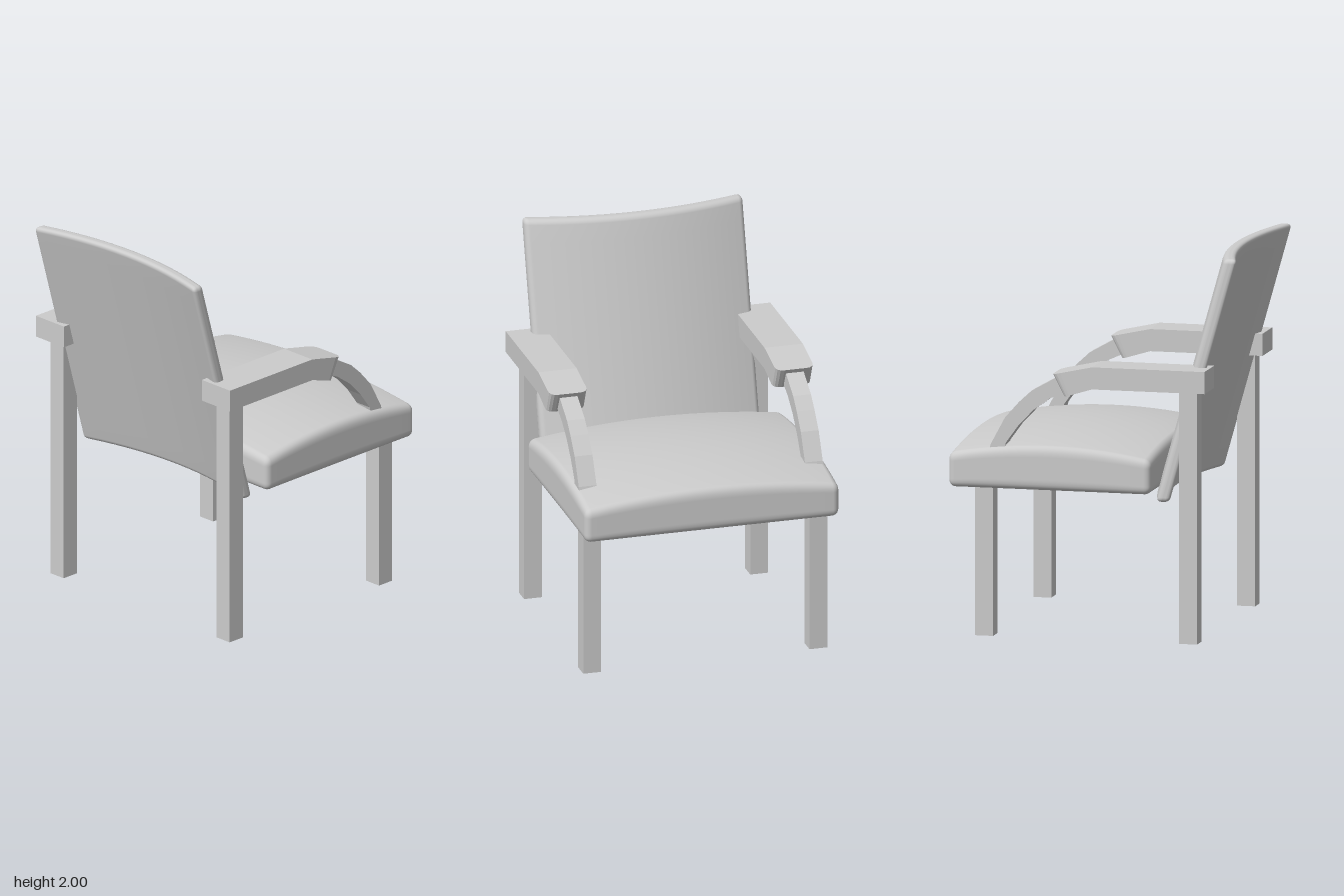
import * as THREE from 'three';
import { mergeVertices } from 'three/addons/utils/BufferGeometryUtils.js';

const material = new THREE.MeshStandardMaterial({ color: 0xcccccc });

function add(parent, name, geometry, x = 0, y = 0, z = 0) {
  const mesh = new THREE.Mesh(geometry, material);
  mesh.name = name;
  mesh.position.set(x, y, z);
  parent.add(mesh);
  return mesh;
}

// Finely divided box with rounded edges, reshaped by a rule on each vertex
function cushion(size, r, reshape) {
  const n = 20, ring = 3;
  let geo = new THREE.BoxGeometry(2, 2, 2, n, n, n);
  geo.deleteAttribute('uv');
  geo.deleteAttribute('normal');
  geo = mergeVertices(geo);
  const pos = geo.attributes.position;
  const p = new THREE.Vector3(), core = new THREE.Vector3();
  const half = new THREE.Vector3(...size).multiplyScalar(0.5);
  const inner = half.clone().subScalar(r);
  const place = (t, h) => {
    const k = Math.round((t + 1) / 2 * n);
    if (k <= ring) return -h + r * k / ring;
    if (k >= n - ring) return h - r * (n - k) / ring;
    return (h - r) * (2 * (k - ring) / (n - 2 * ring) - 1);
  };
  for (let i = 0; i < pos.count; i++) {
    p.fromBufferAttribute(pos, i);
    p.set(place(p.x, half.x), place(p.y, half.y), place(p.z, half.z));
    core.copy(p).clamp(inner.clone().negate(), inner);
    p.sub(core).normalize().multiplyScalar(r).add(core);
    reshape(p);
    pos.setXYZ(i, p.x, p.y, p.z);
  }
  geo.computeVertexNormals();
  return geo;
}

// Front end of the arm pad: rounded corners, dropping and undercut at the tip
function padTip(w, thick, length) {
  const h = w / 2, c = 0.045;
  const s = new THREE.Shape();
  s.moveTo(h, 0);
  s.lineTo(-h, 0);
  s.lineTo(-h, -length + c);
  s.quadraticCurveTo(-h, -length, -h + c, -length);
  s.lineTo(h - c, -length);
  s.quadraticCurveTo(h, -length, h, -length + c);
  s.closePath();
  const geo = new THREE.ExtrudeGeometry(s, { depth: thick, bevelEnabled: false, curveSegments: 4 });
  geo.rotateX(-Math.PI / 2);
  const pos = geo.attributes.position;
  for (let i = 0; i < pos.count; i++) {
    const y = pos.getY(i), z = pos.getZ(i);
    pos.setY(i, y - 0.22 * z);
    pos.setZ(i, z * (1 - 0.28 * (1 - y / thick)));
  }
  geo.computeVertexNormals();
  return geo;
}

// Side profile in (z, y), extruded across x and centred
function sideProfile(points, width) {
  const s = new THREE.Shape(points.map(([z, y]) => new THREE.Vector2(z, y)));
  const geo = new THREE.ExtrudeGeometry(s, { depth: width, bevelEnabled: false });
  geo.rotateY(-Math.PI / 2);
  geo.translate(width / 2, 0, 0);
  return geo;
}

export function createModel() {
  const model = new THREE.Group();
  model.name = 'armchair';

  // The chair stands turned away from the front
  const chair = new THREE.Group();
  chair.name = 'chair';
  chair.rotation.y = THREE.MathUtils.degToRad(145);
  chair.position.x = -0.015;
  model.add(chair);

  // Seat: flat underside, domed top
  add(chair, 'seat', cushion([1.36, 0.175, 1.07], 0.035, (p) => {
    const s = p.x / 0.68, t = p.z / 0.535;
    p.y += (p.y / 0.175 + 0.5) * 0.053 * (2 - s * s - t * t);
  }), 0, 0.8575, 0.19);

  // Backrest: reclined panel bowed towards the sitter
  add(chair, 'backrest', cushion([1.17, 1.28, 0.07], 0.025, (p) => {
    const s = p.x / 0.585;
    p.z += -0.281 * p.y + 0.09 * (1 - s * s);
  }), 0, 1.36, -0.57);

  const legSize = 0.095;
  for (const side of [1, -1]) {
    const name = side > 0 ? 'left' : 'right';
    const x = side * 0.605;

    // Legs: the rear ones rise to the arm pads
    add(chair, name + 'FrontLeg', new THREE.BoxGeometry(legSize, 0.8, legSize), x, 0.4, 0.54);
    add(chair, name + 'BackLeg', new THREE.BoxGeometry(legSize, 1.33, legSize), x, 0.665, -0.54);

    // Arm: flat pad, dropping tip and curved support down to the seat
    const arm = new THREE.Group();
    arm.name = name + 'Arm';
    arm.position.x = x;
    chair.add(arm);
    add(arm, 'armPad', new THREE.BoxGeometry(0.205, 0.115, 0.595), 0, 1.3725, -0.3425);
    add(arm, 'armPadTip', padTip(0.205, 0.115, 0.215), 0, 1.315, -0.045);
    add(arm, 'armSupport', sideProfile([
      [0.08, 1.30], [0.19, 1.25], [0.28, 1.185], [0.36, 1.10], [0.425, 1.01], [0.46, 0.88],
      [0.54, 0.88], [0.505, 1.00], [0.43, 1.14], [0.355, 1.225], [0.29, 1.285], [0.14, 1.37],
    ], legSize));
  }
  return model;
}
